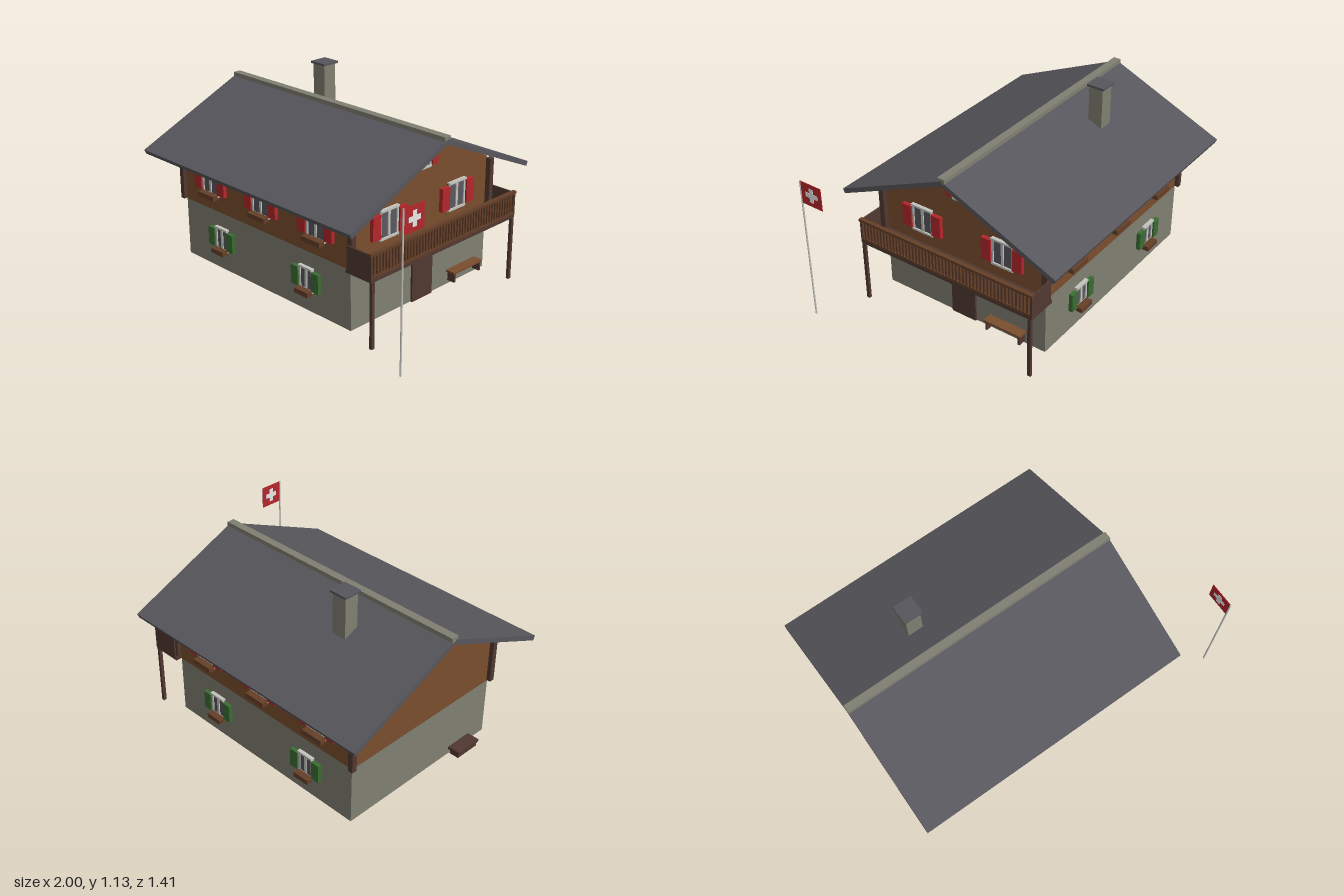
import * as THREE from 'three';

const mat = (name, color) => {
  const m = new THREE.MeshStandardMaterial({ color });
  m.name = name;
  return m;
};

export function createModel() {
  const stone = mat('stone', 0x807f72);
  const wood = mat('wood', 0x7a4e2e);
  const railWood = mat('rail wood', 0x643f28);
  const darkWood = mat('dark wood', 0x503830);
  const slate = mat('slate', 0x57565c);
  const glass = mat('glass', 0x58585f);
  const red = mat('red', 0xb4262a);
  const green = mat('green', 0x3a6c32);
  const trim = mat('light trim', 0xc4c4be);
  const white = mat('white', 0xf6f6f4);

  const model = new THREE.Group();
  model.name = 'chalet';

  // Box given by its min and max on each axis
  const box = (parent, name, m, x0, x1, y0, y1, z0, z1) => {
    const mesh = new THREE.Mesh(new THREE.BoxGeometry(x1 - x0, y1 - y0, z1 - z0), m);
    mesh.position.set((x0 + x1) / 2, (y0 + y1) / 2, (z0 + z1) / 2);
    mesh.name = name;
    parent.add(mesh);
    return mesh;
  };

  // Section in the z-y plane, extruded along x
  const prism = (name, m, points, x0, x1) => {
    const shape = new THREE.Shape(points.map(([z, y]) => new THREE.Vector2(-z, y)));
    const geo = new THREE.ExtrudeGeometry(shape, { depth: x1 - x0, bevelEnabled: false });
    geo.rotateY(Math.PI / 2);
    geo.translate(x0, 0, 0);
    const mesh = new THREE.Mesh(geo, m);
    mesh.name = name;
    model.add(mesh);
  };

  // Walls
  const L = -0.835, R = 0.515, W = 0.54;
  box(model, 'stoneGroundFloor', stone, L, R, 0.025, 0.375, -W, W);
  box(model, 'woodenUpperFloor', wood, L, R, 0.375, 0.71, -W, W);
  prism('gable', wood, [[-W, 0.71], [W, 0.71], [0, 0.953]], L, R);
  for (const s of [-1, 1]) {
    const z = s * 0.549;
    box(model, 'cornerPost', darkWood, L - 0.025, L + 0.005, 0.38, 0.7, z - 0.016, z + 0.016);
    box(model, 'cornerPost', darkWood, R, R + 0.03, 0.38, 0.7, z - 0.016, z + 0.016);
  }

  // Roof, ridge and chimney
  prism('roof', slate, [[0, 0.985], [-0.705, 0.676], [-0.693, 0.65], [0, 0.955],
    [0.693, 0.65], [0.705, 0.676]], -1, 0.675);
  box(model, 'ridgeCap', stone, -1, 0.675, 0.972, 1.0, -0.023, 0.023);
  box(model, 'chimney', stone, -0.505, -0.415, 0.8, 1.115, -0.263, -0.175);
  box(model, 'chimneyCap', slate, -0.515, -0.405, 1.115, 1.128, -0.275, -0.165);

  // Window facing +z: origin at the middle of the pane on the wall
  const makeWindow = (name, hw, hh, shutterW, shutterMat, planter) => {
    const g = new THREE.Group();
    g.name = name;
    box(g, 'pane', glass, -hw, hw, -hh, hh, 0, 0.008);
    for (const x of [-hw + 0.006, 0, hw - 0.006]) {
      const w = x === 0 ? 0.008 : 0.006;
      box(g, 'frameBar', trim, x - w, x + w, -hh, hh, 0, 0.014);
    }
    box(g, 'frameTop', trim, -hw, hw, hh - 0.004, hh + 0.008, 0, 0.022);
    box(g, 'sill', trim, -hw, hw, -hh - 0.006, -hh + 0.006, 0, 0.018);
    for (const s of [-1, 1]) {
      const c = s * (hw + shutterW / 2);
      box(g, 'shutter', shutterMat, c - shutterW / 2, c + shutterW / 2,
        -hh * 0.86, hh * 0.88, 0, 0.024);
    }
    if (planter) {
      box(g, 'flowerBox', railWood, -hw + 0.002, hw - 0.002, -hh - 0.02, -hh + 0.008, 0.012, 0.052);
      box(g, 'flowerBoxFoot', darkWood, -hw + 0.015, hw - 0.015, -hh - 0.026, -hh - 0.02, 0, 0.04);
    }
    return g;
  };
  const place = (win, x, y, z, turn) => {
    win.position.set(x, y, z);
    win.rotation.y = turn;
    model.add(win);
  };

  // Windows on both long walls
  for (const s of [1, -1]) {
    const turn = s > 0 ? 0 : Math.PI;
    for (const x of [-0.595, -0.163, 0.27])
      place(makeWindow('upperWindow', 0.07, 0.08, 0.06, red, true), x, 0.557, s * W, turn);
    for (const x of [-0.513, 0.19])
      place(makeWindow('lowerWindow', 0.053, 0.064, 0.052, green, true), x, 0.217, s * W, turn);
  }
  // Windows on the balcony gable
  for (const z of [0.27, -0.27])
    place(makeWindow('balconyWindow', 0.07, 0.078, 0.062, red, false), R, 0.558, z, Math.PI / 2);
  place(makeWindow('atticWindow', 0.05, 0.046, 0.042, red, false), R, 0.836, 0, Math.PI / 2);

  // Door
  box(model, 'door', darkWood, R, R + 0.012, 0.025, 0.31, -0.081, 0.081);
  box(model, 'doorLintel', trim, R, R + 0.02, 0.308, 0.323, -0.098, 0.098);

  // Balcony
  const balcony = new THREE.Group();
  balcony.name = 'balcony';
  model.add(balcony);
  box(balcony, 'floor', darkWood, R, 0.695, 0.378, 0.398, -0.578, 0.578);
  box(balcony, 'bottomRail', railWood, 0.68, 0.695, 0.398, 0.412, -0.578, 0.578);
  box(balcony, 'topRail', railWood, 0.675, 0.699, 0.522, 0.537, -0.582, 0.582);
  for (let i = 0; i <= 50; i++) {
    const z = -0.57 + i * 0.0228;
    box(balcony, 'baluster', railWood, 0.683, 0.692, 0.41, 0.524, z - 0.0055, z + 0.0055);
  }
  for (const s of [-1, 1]) {
    const z = s * 0.574;
    box(balcony, 'endPanel', darkWood, R + 0.01, 0.695, 0.385, 0.53, z - 0.005, z + 0.005);
    box(balcony, 'post', darkWood, 0.68, 0.697, 0, 0.378, s * 0.563 - 0.01, s * 0.563 + 0.01);
  }

  // Bench by the door
  const bench = new THREE.Group();
  bench.name = 'bench';
  model.add(bench);
  box(bench, 'seat', wood, 0.535, 0.595, 0.118, 0.13, -0.432, -0.19);
  for (const z of [-0.204, -0.42])
    box(bench, 'leg', darkWood, 0.54, 0.59, 0.065, 0.118, z - 0.006, z + 0.006);

  // Trough by the plain wall
  const trough = new THREE.Group();
  trough.name = 'trough';
  model.add(trough);
  box(trough, 'troughBody', darkWood, -0.932, -0.873, 0.068, 0.1, 0.205, 0.36);
  box(trough, 'troughRim', darkWood, -0.94, -0.865, 0.097, 0.113, 0.198, 0.367);

  // Flag on its pole
  const pole = new THREE.Mesh(new THREE.CylinderGeometry(0.005, 0.005, 0.88, 10), trim);
  pole.name = 'flagPole';
  pole.position.set(0.994, 0.463, 0.68);
  model.add(pole);
  const flag = new THREE.Group();
  flag.name = 'flag';
  flag.position.set(0.994, 0.834, 0.604);
  model.add(flag);
  box(flag, 'cloth', red, -0.002, 0.002, -0.067, 0.067, -0.069, 0.073);
  box(flag, 'crossUpright', white, -0.004, 0.004, -0.042, 0.042, -0.014, 0.014);
  box(flag, 'crossArm', white, -0.0038, 0.0038, -0.014, 0.014, -0.042, 0.042);

  return model;
}
